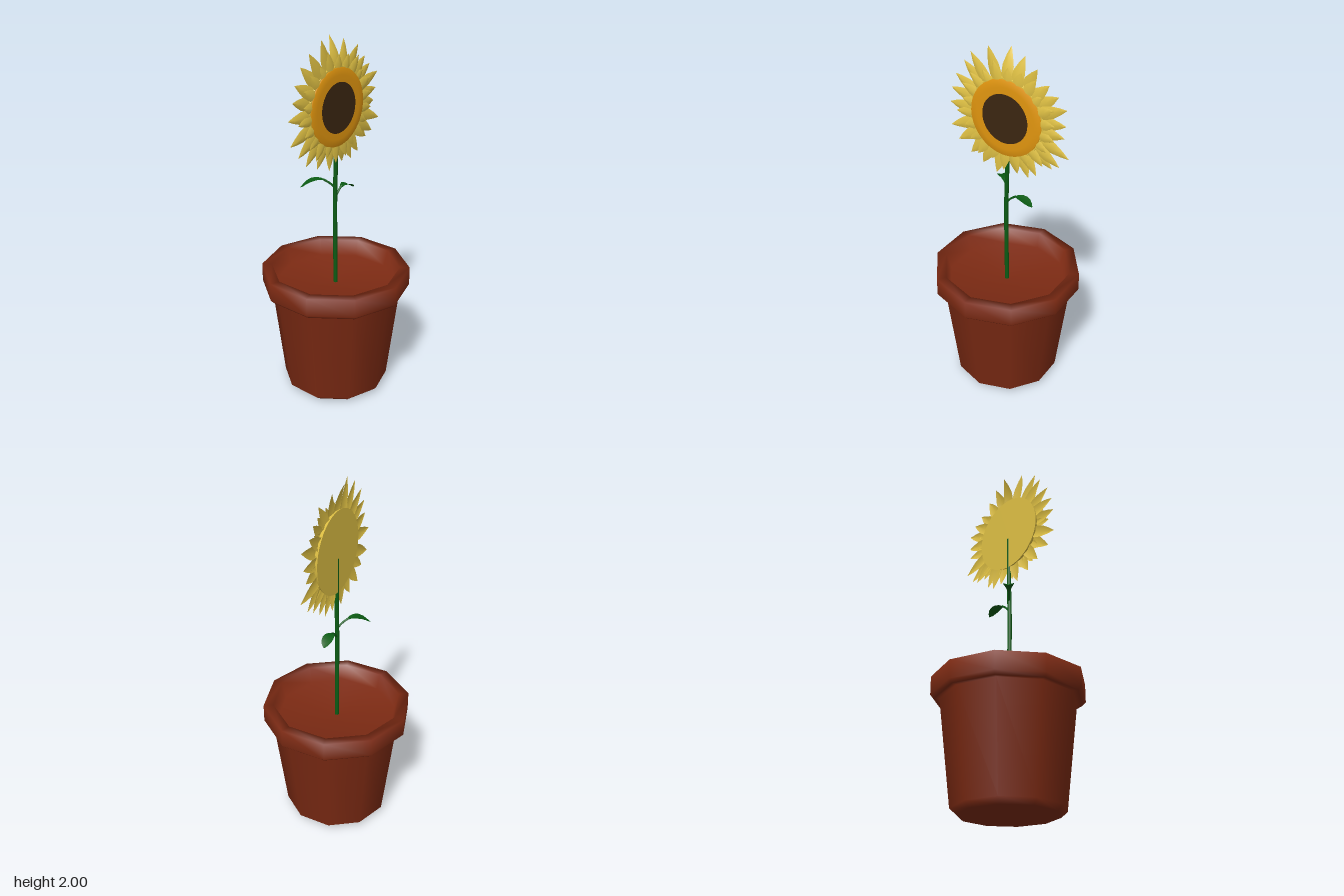
import * as THREE from 'three';

const material = (name, color, side = THREE.FrontSide) => {
  const m = new THREE.MeshStandardMaterial({ color, side });
  m.name = name;
  return m;
};
const V = (x, y, z) => new THREE.Vector3(x, y, z);

// Folded blade: three points per row (edge, raised ridge, edge) along a path
function blade(path, widths, side, up, fold) {
  const pos = [], index = [];
  path.forEach((p, i) => {
    const w = widths[i];
    for (const s of [-1, 0, 1]) {
      const q = p.clone().addScaledVector(side, s * w);
      if (s === 0) q.addScaledVector(up, fold * w);
      pos.push(q.x, q.y, q.z);
    }
    if (i === 0) return;
    for (let k = 0; k < 2; k++) {
      const a = (i - 1) * 3 + k, b = a + 1, c = a + 3, d = a + 4;
      index.push(a, b, d, a, d, c);
    }
  });
  const g = new THREE.BufferGeometry();
  g.setAttribute('position', new THREE.Float32BufferAttribute(pos, 3));
  g.setIndex(index);
  g.computeVertexNormals();
  return g;
}

export function createModel() {
  const clay = material('terracotta', 0x7c2a13);
  const green = material('leafGreen', 0x0b5c14, THREE.DoubleSide);
  const yellow = material('petalYellow', 0xe2c345, THREE.DoubleSide);
  const orange = material('ringOrange', 0xe2960f);
  const brown = material('seedBrown', 0x3c2611);

  const model = new THREE.Group();
  const add = (parent, name, geometry, mat) => {
    const mesh = new THREE.Mesh(geometry, mat);
    mesh.name = name;
    parent.add(mesh);
    return mesh;
  };

  // Ten-sided pot with an overhanging rim and shallow filled inside
  const profile = [
    [0, 0], [0.265, 0], [0.298, 0.03], [0.366, 0.598], [0.395, 0.598],
    [0.415, 0.618], [0.415, 0.72], [0.36, 0.72], [0.335, 0.63], [0, 0.62],
  ].map(([r, y]) => new THREE.Vector2(r, y));
  add(model, 'pot', new THREE.LatheGeometry(profile, 10), clay);

  // Stem, slightly wavy
  const stemPath = new THREE.CatmullRomCurve3([
    V(0, 0.6, 0), V(-0.003, 0.85, 0), V(-0.005, 1.1, 0), V(0, 1.3, 0), V(0, 1.6, 0),
  ]);
  add(model, 'stem', new THREE.TubeGeometry(stemPath, 16, 0.012, 8), green);

  // Leaves: a thin stalk that opens into an arched blade
  const leaves = [
    { dir: V(-0.70, 0, -0.71), base: 1.185, reach: 0.19, rise: 0.06, drop: 0.012 },
    { dir: V(1, 0, -0.03), base: 1.135, reach: 0.155, rise: 0.055, drop: 0.015 },
  ];
  for (const { dir, base, reach, rise, drop } of leaves) {
    const at = (t, y) => dir.clone().multiplyScalar(t * reach).setY(base + y);
    const curve = new THREE.CatmullRomCurve3([
      at(0, 0), at(0.2, rise * 0.62), at(0.45, rise), at(0.75, rise * 0.82), at(1, drop),
    ]);
    const side = V(-dir.z, 0, dir.x);
    const leaf = new THREE.Group();
    leaf.name = 'leaf';
    const stalk = new THREE.CatmullRomCurve3([0, 0.2, 0.4].map((t) => curve.getPoint(t)));
    add(leaf, 'leafStalk', new THREE.TubeGeometry(stalk, 6, 0.006, 6), green);
    const rows = [0.32, 0.45, 0.58, 0.7, 0.82, 0.92, 1].map((t) => curve.getPoint(t));
    add(leaf, 'leafBlade', blade(rows, [0.006, 0.016, 0.027, 0.031, 0.028, 0.018, 0.003],
      side, V(0, 1, 0), -0.25), green);
    model.add(leaf);
  }

  // Flower head, facing +z
  const flower = new THREE.Group();
  flower.name = 'flowerHead';
  flower.position.set(0, 1.634, 0);
  model.add(flower);

  const back = new THREE.CylinderGeometry(0.215, 0.225, 0.022, 40).rotateX(Math.PI / 2);
  add(flower, 'flowerBack', back.translate(0, 0, 0.001), yellow);

  const petal = (angle, length, width, z, tipZ) => {
    const u = V(Math.cos(angle), Math.sin(angle), 0);
    const side = V(-u.y, u.x, 0);
    const root = 0.17;
    const rows = [0, 0.3, 0.55, 0.8, 1].map((t) =>
      u.clone().multiplyScalar(root + (length - root) * t).setZ(z + (tipZ - z) * t * t));
    const widths = [0.75, 1, 0.92, 0.5, 0.02].map((k) => k * width);
    add(flower, 'petal', blade(rows, widths, side, V(0, 0, 1), 0.32), yellow);
  };

  // Long petals, by tip position in hundredths
  const tips = [
    [0, 36.6], [-11, 36], [-21, 31], [-26, 25], [-31, 17], [-33.5, 9], [-35.5, 0],
    [-35, -13], [-30, -20], [-23, -26.5], [-15, -30], [-6, -33], [6, -31], [13, -31],
    [18, -28], [26.5, -22], [31, -19.5], [36.5, -13], [33, -3], [34, 4], [34.5, 13],
    [29, 18], [24, 23], [17.5, 30], [9, 34],
  ];
  tips.forEach(([x, y], i) => {
    const tipZ = i === 0 ? -0.042 : i === 24 ? -0.022 : (i % 3) * 0.006 - 0.006;
    petal(Math.atan2(y, x), Math.hypot(x, y) / 100, 0.035, i % 2 ? -0.004 : 0.003, tipZ);
  });

  // Shorter front petals filling the gaps
  const count = 22;
  for (let i = 0; i < count; i++) {
    petal(((i + 0.35) / count) * Math.PI * 2, 0.285 + 0.02 * Math.sin(i * 2.4), 0.03, 0.009, 0.013);
  }

  // Orange ring and dark seed disc
  const ring = new THREE.LatheGeometry([
    new THREE.Vector2(0.21, 0.01), new THREE.Vector2(0.207, 0.019),
    new THREE.Vector2(0.17, 0.022), new THREE.Vector2(0.13, 0.022),
  ], 48).rotateX(Math.PI / 2);
  add(flower, 'orangeRing', ring, orange);
  add(flower, 'seedDisc', new THREE.CircleGeometry(0.135, 48).translate(0, 0, 0.0235), brown);

  return model;
}
